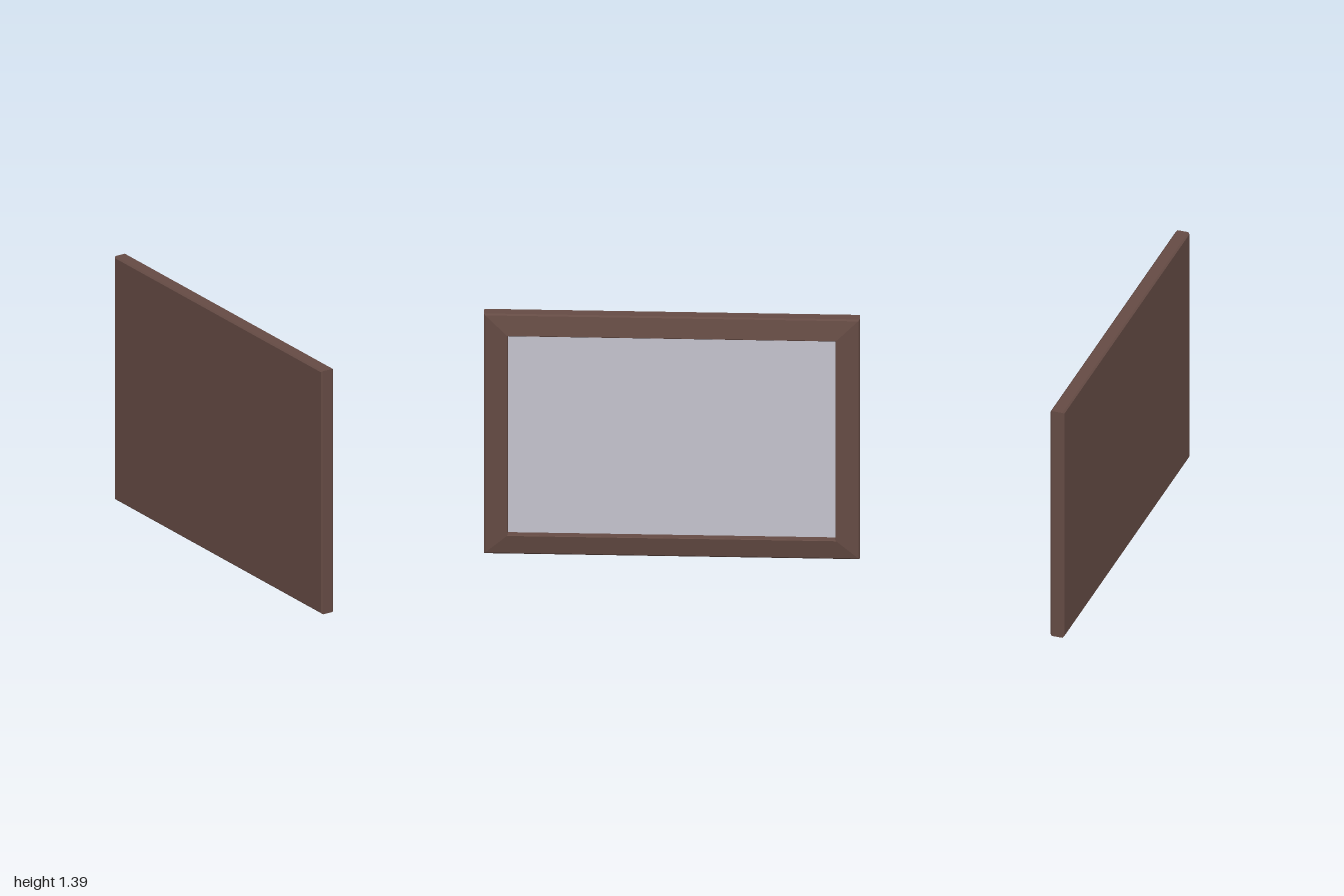
import * as THREE from 'three';

const HEIGHT = 1.39, LENGTH = 2;

// Four corners of a rectangle facing +x, counter-clockwise seen from +x
function corners([x, insetY, insetZ]) {
  const y0 = insetY, y1 = HEIGHT - insetY, z = LENGTH / 2 - insetZ;
  return [[x, y0, z], [x, y0, -z], [x, y1, -z], [x, y1, z]];
}

// Flat-faced geometry from a list of four-cornered faces
function fromQuads(quads) {
  const pos = quads.flatMap(([a, b, c, d]) => [a, b, c, a, c, d].flat());
  const geo = new THREE.BufferGeometry();
  geo.setAttribute('position', new THREE.Float32BufferAttribute(pos, 3));
  geo.computeVertexNormals();
  return geo;
}

// Mitred moulding: joins successive rectangles of the profile
function moulding(profile) {
  const rings = profile.map(corners);
  const quads = [];
  for (let k = 0; k < rings.length - 1; k++) {
    for (let i = 0; i < 4; i++) {
      const j = (i + 1) % 4;
      quads.push([rings[k][i], rings[k][j], rings[k + 1][j], rings[k + 1][i]]);
    }
  }
  return fromQuads(quads);
}

export function createModel() {
  const wood = new THREE.MeshStandardMaterial({ color: 0x654b44 });
  wood.name = 'dark brown wood';
  const pane = new THREE.MeshStandardMaterial({ color: 0xc4c3ce });
  pane.name = 'pale grey pane';

  const model = new THREE.Group();
  model.name = 'pictureFrame';
  const add = (name, geometry, material) => {
    const mesh = new THREE.Mesh(geometry, material);
    mesh.name = name;
    model.add(mesh);
  };

  // Profile from back edge, around the outside, up the slope and into the recess: x, inset y, inset z
  const profile = [
    [-0.05, 0.008, 0.008],
    [-0.042, 0, 0],
    [0.019, 0, 0],
    [0.027, 0.008, 0.008],
    [0.05, 0.115, 0.124],
    [0.047, 0.118, 0.127],
    [0.005, 0.118, 0.127],
  ];
  add('frameMoulding', moulding(profile), wood);

  // Flat back, facing -x
  add('backPanel', fromQuads([corners(profile[0]).reverse()]), wood);

  // Picture pane at the bottom of the recess, facing +x
  add('picturePane', fromQuads([corners(profile[profile.length - 1])]), pane);

  return model;
}
